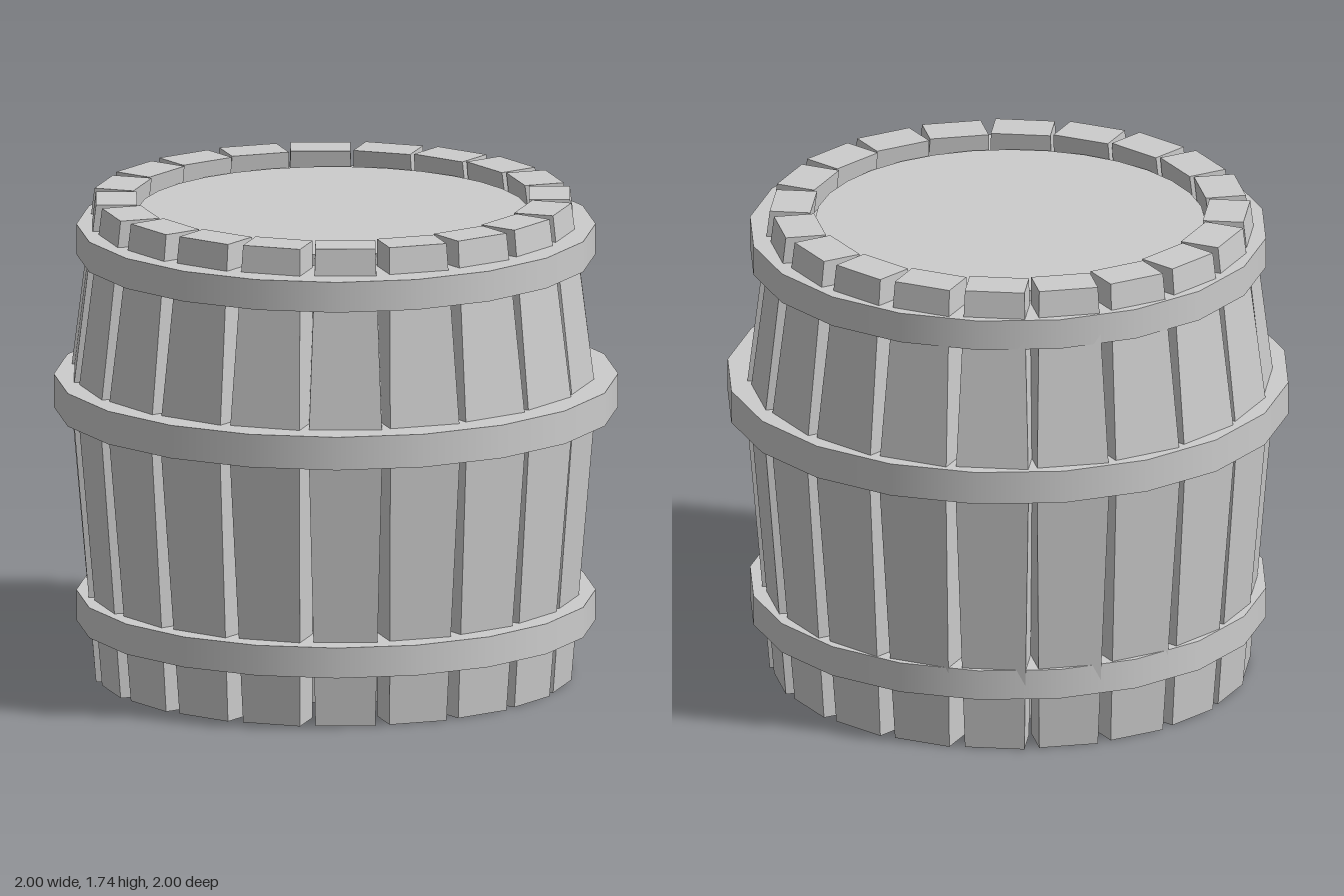
import * as THREE from 'three';

const STAVES = 20;
const HEIGHT = 1.735;
const BULGE_Y = 1.03; // height of the widest point
const CENTRE_Z = -0.035; // staves and heads sit slightly behind the hoops
const THICKNESS = 0.145;

// One plank: a box with a middle row pushed outwards and widened
function staveGeometry() {
  const g = new THREE.BoxGeometry(1, 2, THICKNESS, 1, 2, 1).toNonIndexed();
  const p = g.attributes.position;
  for (let i = 0; i < p.count; i++) {
    const row = Math.round(p.getY(i)); // -1 bottom, 0 middle, 1 top
    const mid = row === 0;
    const width = mid ? 0.262 : 0.212;
    const outer = mid ? 0.925 : 0.84;
    p.setXYZ(
      i,
      p.getX(i) * width + 0.042,
      mid ? BULGE_Y : row < 0 ? 0 : HEIGHT,
      p.getZ(i) + outer - THICKNESS / 2
    );
  }
  g.computeVertexNormals();
  return g;
}

export function createModel() {
  const barrel = new THREE.Group();
  barrel.name = 'barrel';
  const material = new THREE.MeshStandardMaterial({ color: 0xcccccc });
  const flat = new THREE.MeshStandardMaterial({ color: 0xcccccc, flatShading: true });

  const add = (parent, name, geometry, mat, y = 0, z = 0) => {
    const mesh = new THREE.Mesh(geometry, mat);
    mesh.name = name;
    mesh.position.set(0, y, z);
    parent.add(mesh);
    return mesh;
  };

  // Ring of staves
  const staves = new THREE.Group();
  staves.name = 'staves';
  staves.position.z = CENTRE_Z;
  barrel.add(staves);
  const plank = staveGeometry();
  for (let i = 0; i < STAVES; i++) {
    add(staves, 'stave', plank, flat).rotation.y = (i / STAVES) * Math.PI * 2;
  }

  // Inner body whose ends form the recessed top and bottom heads
  const bottom = 0.05, top = 1.68;
  add(barrel, 'heads', new THREE.CylinderGeometry(0.692, 0.692, top - bottom, 32),
    material, (top + bottom) / 2, CENTRE_Z);

  // Three hoops
  for (const [name, y, radius, height] of [
    ['lowerHoop', 0.255, 0.92, 0.11],
    ['middleHoop', 1.035, 1, 0.12],
    ['upperHoop', 1.585, 0.92, 0.11],
  ]) {
    add(barrel, name, new THREE.CylinderGeometry(radius, radius, height, 20), material, y);
  }

  return barrel;
}
